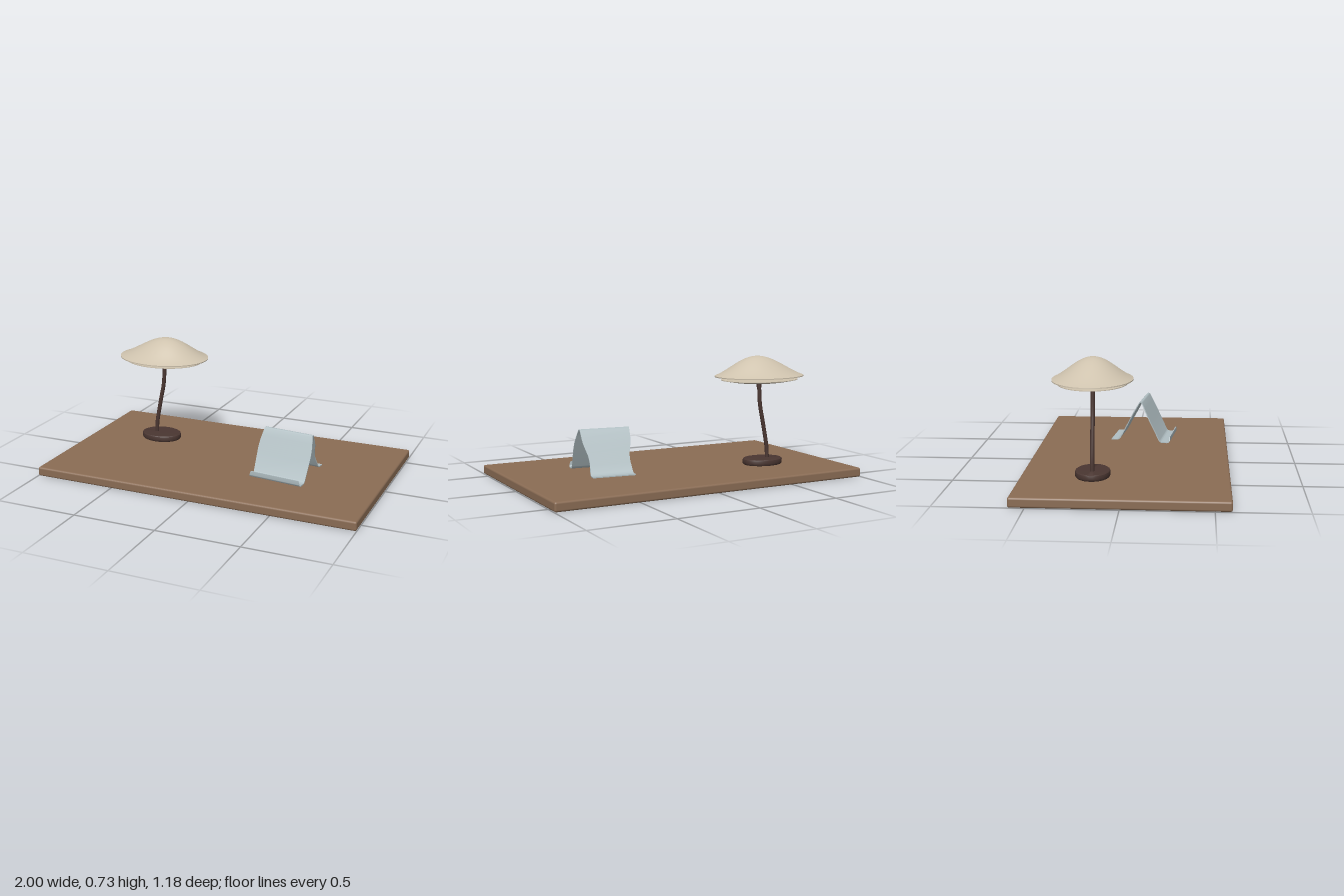
import * as THREE from 'three';
import { toCreasedNormals } from 'three/addons/utils/BufferGeometryUtils.js';
import { RoundedBoxGeometry } from 'three/addons/geometries/RoundedBoxGeometry.js';

const V3 = (x, y, z) => new THREE.Vector3(x, y, z);

function material(name, color) {
  const m = new THREE.MeshStandardMaterial({ color });
  m.name = name;
  return m;
}

function addMesh(parent, name, geometry, mat, x = 0, y = 0, z = 0) {
  const mesh = new THREE.Mesh(geometry, mat);
  mesh.name = name;
  mesh.position.set(x, y, z);
  parent.add(mesh);
  return mesh;
}

// Lathe stretched to an oval; profile runs from the bottom outwards and up
function ovalLathe(profile, rx, rz) {
  const g = new THREE.LatheGeometry(profile.map(([r, y]) => new THREE.Vector2(r, y)), 64);
  g.scale(rx, 1, rz);
  return toCreasedNormals(g, 0.6);
}

// Polyline with rounded corners; each entry is [halfWidth, y, z, corner radius]
function roundedPath(entries) {
  const pts = entries.map(([w, y, z]) => V3(w, y, z));
  const out = [pts[0]];
  for (let i = 1; i < pts.length - 1; i++) {
    const r = entries[i][3];
    const a = pts[i].clone().add(pts[i - 1].clone().sub(pts[i]).setLength(r));
    const b = pts[i].clone().add(pts[i + 1].clone().sub(pts[i]).setLength(r));
    out.push(...new THREE.QuadraticBezierCurve3(a, pts[i], b).getPoints(8));
  }
  out.push(pts[pts.length - 1]);
  return out;
}

// Bent sheet: a thin rectangle swept along the path, with varying width
function bentSheet(path, thickness) {
  const pos = [], index = [];
  path.forEach((p, i) => {
    const a = path[Math.max(i - 1, 0)], b = path[Math.min(i + 1, path.length - 1)];
    const dy = b.y - a.y, dz = b.z - a.z, len = Math.hypot(dy, dz);
    const ny = (-dz / len) * thickness / 2, nz = (dy / len) * thickness / 2;
    for (const [sx, sn] of [[-1, 1], [1, 1], [1, -1], [-1, -1]]) {
      pos.push(sx * p.x, p.y + sn * ny, p.z + sn * nz);
    }
  });
  for (let i = 0; i < path.length - 1; i++) {
    for (let k = 0; k < 4; k++) {
      const a = i * 4 + k, b = i * 4 + (k + 1) % 4;
      index.push(a, b, b + 4, a, b + 4, a + 4);
    }
  }
  const e = (path.length - 1) * 4;
  index.push(0, 3, 2, 0, 2, 1, e, e + 1, e + 2, e, e + 2, e + 3);
  const g = new THREE.BufferGeometry();
  g.setAttribute('position', new THREE.Float32BufferAttribute(pos, 3));
  g.setIndex(index);
  return toCreasedNormals(g, 0.7);
}

export function createModel() {
  const wood = material('brown wood', 0x8a6c54);
  const dark = material('dark bronze', 0x4a3631);
  const cream = material('cream shade', 0xcfc3ae);
  const steel = material('pale blue grey metal', 0xb0bec2);
  steel.side = THREE.DoubleSide;

  const model = new THREE.Group();
  model.name = 'deskWithLampAndStand';

  // Desk top
  addMesh(model, 'deskTop', new RoundedBoxGeometry(2, 0.056, 1.184, 3, 0.012), wood, 0, 0.028, 0);

  // Lamp
  const lamp = new THREE.Group();
  lamp.name = 'lamp';
  lamp.position.z = -0.183;
  model.add(lamp);

  const puck = [[0, 0], [0.95, 0], [0.985, 0.004], [1, 0.01], [1, 0.026],
    [0.985, 0.033], [0.94, 0.037], [0, 0.038]];
  addMesh(lamp, 'lampBase', ovalLathe(puck, 0.13, 0.1), dark, -0.55, 0.056, 0);

  const stemCurve = new THREE.CatmullRomCurve3([
    V3(-0.585, 0.08, 0), V3(-0.58, 0.16, 0), V3(-0.552, 0.31, 0),
    V3(-0.528, 0.43, 0), V3(-0.52, 0.55, 0)]);
  addMesh(lamp, 'lampStem', new THREE.TubeGeometry(stemCurve, 40, 0.0125, 16), dark);
  addMesh(lamp, 'lampCollar', new THREE.CylinderGeometry(0.0145, 0.0145, 0.18, 24), dark, -0.52, 0.625, 0);
  addMesh(lamp, 'shadeHolder', new THREE.CylinderGeometry(0.022, 0.022, 0.01, 24), dark, -0.517, 0.71, 0);

  // Bell-shaped shade shell: underside outwards, rim, then back over the top
  const bell = r => 0.12 * (Math.cos(0.8 * Math.PI * r) + 0.809) / 1.809;
  const shell = [];
  for (let i = 0; i <= 24; i++) shell.push([i / 24, bell(i / 24)]);
  for (let i = 24; i >= 0; i--) shell.push([i / 24, bell(i / 24) + 0.006]);
  const shadeGeo = ovalLathe(shell, 0.289, 0.228);
  // Crown leans slightly to one side
  const sp = shadeGeo.attributes.position;
  for (let i = 0; i < sp.count; i++) sp.setX(i, sp.getX(i) + 0.14 * sp.getY(i));
  addMesh(lamp, 'lampShade', toCreasedNormals(shadeGeo, 0.6), cream, -0.521, 0.604, 0);

  // Shallow diffuser dish with a hole for the stem
  const dish = [];
  for (let i = 0; i <= 12; i++) {
    const r = 0.09 + 0.91 * i / 12;
    dish.push([r, 0.024 * r * r]);
  }
  dish.push([1, 0.028], [0.09, 0.028], [0.09, 0]);
  addMesh(lamp, 'lampDiffuser', ovalLathe(dish, 0.249, 0.196), cream, -0.521, 0.559, 0);

  // Bent sheet stand: lip, tray, front leg, crown, back leg, foot
  const standPath = roundedPath([
    [0.155, 0.094, 0.192],
    [0.167, 0.059, 0.193, 0.018],
    [0.167, 0.059, 0.133, 0.018],
    [0.174, 0.225, 0.053, 0.05],
    [0.155, 0.325, 0.006, 0.026],
    [0.15, 0.24, -0.043, 0.03],
    [0.123, 0.15, -0.091, 0.04],
    [0.132, 0.059, -0.14, 0.02],
    [0.132, 0.059, -0.19],
  ]);
  const stand = addMesh(model, 'bentStand', bentSheet(standPath, 0.006), steel, 0.42, 0, 0.054);
  stand.rotation.y = -0.113;

  return model;
}
